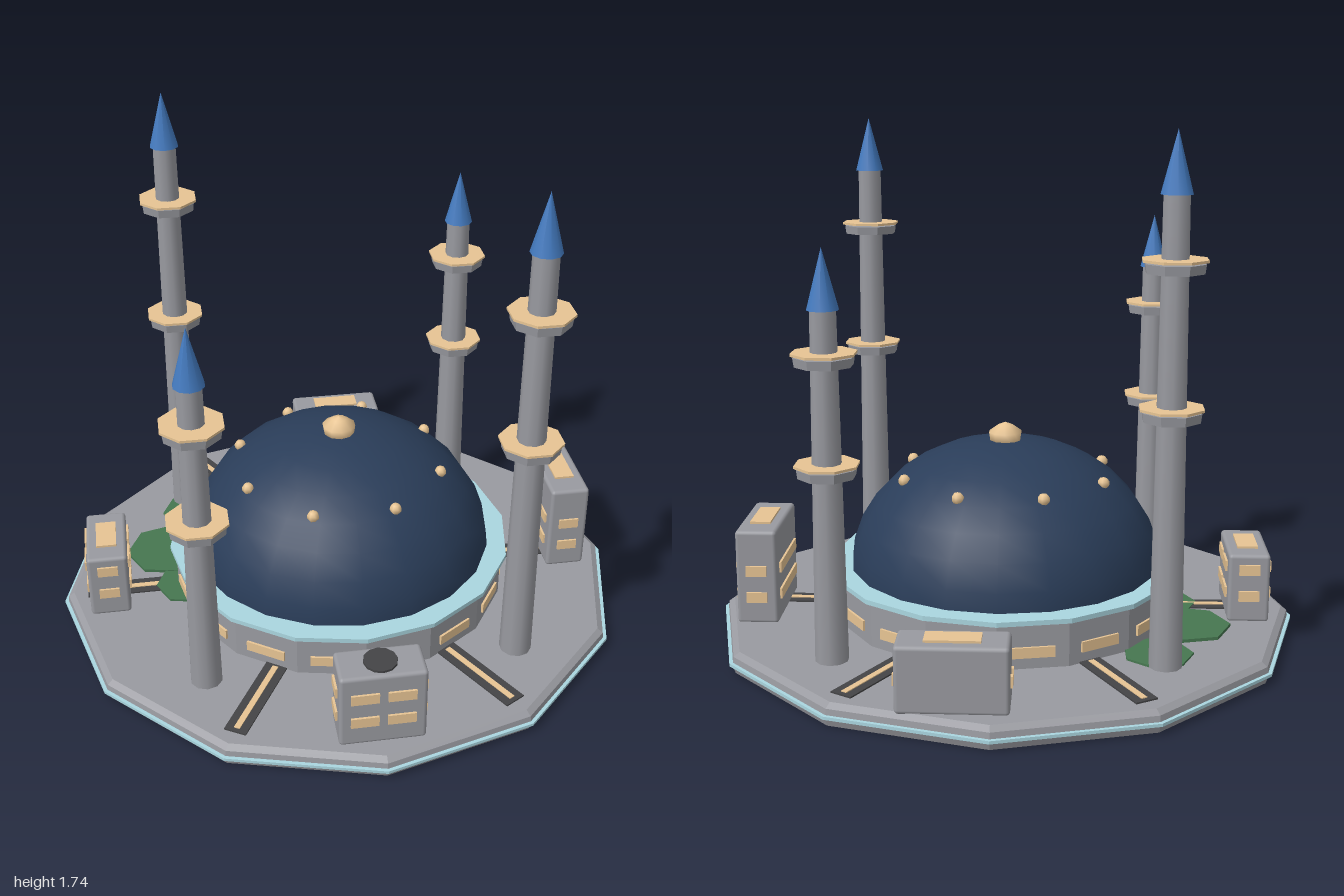
import * as THREE from 'three';
import { toCreasedNormals } from 'three/addons/utils/BufferGeometryUtils.js';
import { RoundedBoxGeometry } from 'three/addons/geometries/RoundedBoxGeometry.js';

const mat = (name, color) => {
  const m = new THREE.MeshStandardMaterial({ color });
  m.name = name;
  return m;
};

export function createModel() {
  const stone = mat('grey stone', 0x999aa0);
  const dark = mat('dark asphalt', 0x444446);
  const trim = mat('pale cyan trim', 0xaad6e0);
  const navy = mat('navy dome', 0x2a3d59);
  const blue = mat('spire blue', 0x437abf);
  const sand = mat('warm sand', 0xe8c594);
  const green = mat('garden green', 0x467750);

  const model = new THREE.Group();
  model.name = 'domedCourtyard';

  const add = (parent, name, geo, material, x = 0, y = 0, z = 0) => {
    const m = new THREE.Mesh(geo, material);
    m.name = name;
    m.position.set(x, y, z);
    parent.add(m);
    return m;
  };
  const group = (name, x = 0, z = 0) => {
    const g = new THREE.Group();
    g.name = name;
    g.position.set(x, 0, z);
    model.add(g);
    return g;
  };
  // Faceted prism standing between two heights
  const prism = (rTop, rBottom, y0, y1, sides, turn = 0) => {
    const geo = new THREE.CylinderGeometry(rTop, rBottom, y1 - y0, sides);
    geo.rotateY(turn).translate(0, (y0 + y1) / 2, 0);
    return toCreasedNormals(geo, 0.3);
  };

  // Twelve-sided platform with a bevelled deck and a thin band
  const base = group('platform');
  add(base, 'platformFoot', prism(0.99, 0.98, 0, 0.027, 12), stone);
  add(base, 'platformTrim', prism(1, 1, 0.027, 0.037, 12), trim);
  add(base, 'platformWall', prism(0.985, 0.988, 0.037, 0.056, 12), stone);
  add(base, 'platformDeck', prism(0.965, 0.985, 0.056, 0.07, 12), stone);

  // Drum with one window per facet
  const hall = group('hall');
  add(hall, 'drum', prism(0.59, 0.59, 0.07, 0.222, 16), stone);
  add(hall, 'drumCornice', prism(0.61, 0.61, 0.22, 0.236, 16), trim);
  for (let i = 0; i < 16; i++) {
    const a = (i + 0.5) * Math.PI / 8;
    const w = add(hall, 'drumWindow', new THREE.BoxGeometry(0.14, 0.035, 0.009), sand,
      0.582 * Math.sin(a), 0.125, 0.582 * Math.cos(a));
    w.rotation.y = a;
  }

  // Dome, studs and finial
  const dome = new THREE.SphereGeometry(0.54, 20, 8, 0, Math.PI * 2, 0, Math.PI / 2);
  add(hall, 'dome', dome.scale(1, 0.845, 1), navy, 0, 0.21, 0);
  for (let i = 0; i < 8; i++) {
    const a = (i + 0.5) * Math.PI / 4;
    add(hall, 'domeStud', new THREE.SphereGeometry(0.021, 7, 5), sand,
      0.363 * Math.sin(a), 0.55, 0.363 * Math.cos(a));
  }
  const finial = [[0, 0.645], [0.052, 0.65], [0.058, 0.69], [0.025, 0.714], [0, 0.724]]
    .map(([r, y]) => new THREE.Vector2(r, y));
  add(hall, 'finial', new THREE.LatheGeometry(finial, 10), sand);

  // Four towers, tall and short on opposite corners
  const tower = (x, z, top, balconies) => {
    const g = group('tower', x, z);
    const shaftTop = top - 0.19;
    const shaft = new THREE.CylinderGeometry(0.041, 0.054, shaftTop - 0.07, 10);
    add(g, 'towerShaft', shaft, stone, 0, (shaftTop + 0.07) / 2, 0);
    add(g, 'spire', new THREE.ConeGeometry(0.05, 0.19, 10), blue, 0, top - 0.095, 0);
    for (const y of balconies) {
      const turn = Math.PI / 8;
      add(g, 'balcony', prism(0.097, 0.093, y - 0.026, y + 0.003, 8, turn), stone);
      add(g, 'balconyRail', prism(0.105, 0.105, y + 0.008, y + 0.016, 8, turn), sand);
    }
  };
  for (const s of [1, -1]) {
    tower(0.527 * s, 0.527 * s, 1.735, [1.34, 0.89]);
    tower(-0.527 * s, 0.527 * s, 1.385, [1.05, 0.7]);
  }

  // Six radial paths with a centre line
  for (let i = 0; i < 6; i++) {
    const path = group('path');
    path.rotation.y = i * Math.PI / 3;
    add(path, 'pathBed', new THREE.BoxGeometry(0.34, 0.006, 0.076), dark, 0.745, 0.072, 0);
    add(path, 'pathLine', new THREE.BoxGeometry(0.31, 0.004, 0.02), sand, 0.745, 0.076, 0);
  }

  // Garden beds
  for (const [x, z, r, y] of [[-0.62, -0.2, 0.148, 0.081], [-0.51, -0.44, 0.115, 0.077], [-0.555, 0.01, 0.115, 0.078]]) {
    add(model, 'gardenBed', prism(r, r, 0.068, y, 7, 0.25), green, x, 0, z);
  }

  // Annex blocks: each window spec is [face, columns, width]
  const rows = [0.16, 0.253];
  const annex = (x, z, w, d, top, rowCount, windows, roof) => {
    const g = group('annex', x, z);
    add(g, 'annexWalls', new RoundedBoxGeometry(w, top - 0.065, d, 2, 0.013), stone, 0, (top + 0.065) / 2, 0);
    for (const [face, cols, width] of windows) {
      const along = face.endsWith('z');
      const sign = face[0] === '-' ? -1 : 1;
      const span = along ? w : d;
      const out = sign * ((along ? d : w) / 2 + 0.003);
      for (let r = 0; r < rowCount; r++) for (let c = 0; c < cols; c++) {
        const t = (c - (cols - 1) / 2) * span * 0.42;
        const geo = along ? new THREE.BoxGeometry(width, 0.036, 0.009) : new THREE.BoxGeometry(0.009, 0.036, width);
        add(g, 'annexWindow', geo, sand, along ? t : out, rows[r], along ? out : t);
      }
    }
    if (roof === 'vent') add(g, 'roofVent', prism(0.055, 0.055, top - 0.002, top + 0.008, 12), dark);
    else add(g, 'roofPanel', new THREE.BoxGeometry(w * 0.5, 0.009, d * 0.5), sand, 0, top + 0.003, 0);
  };
  annex(0, 0.83, 0.28, 0.14, 0.335, 2,
    [['+z', 2, 0.09], ['-z', 2, 0.09], ['+x', 1, 0.07], ['-x', 1, 0.07]], 'vent');
  annex(0.83, -0.063, 0.14, 0.338, 0.392, 2,
    [['+x', 1, 0.26], ['-x', 1, 0.26], ['+z', 1, 0.07], ['-z', 1, 0.07]], 'panel');
  annex(-0.833, -0.005, 0.14, 0.28, 0.305, 2,
    [['+x', 2, 0.09], ['-x', 2, 0.09], ['+z', 1, 0.07], ['-z', 1, 0.07]], 'panel');
  annex(0.115, -0.835, 0.34, 0.14, 0.277, 1,
    [['+x', 2, 0.018], ['-x', 2, 0.018]], 'panel');

  return model;
}
